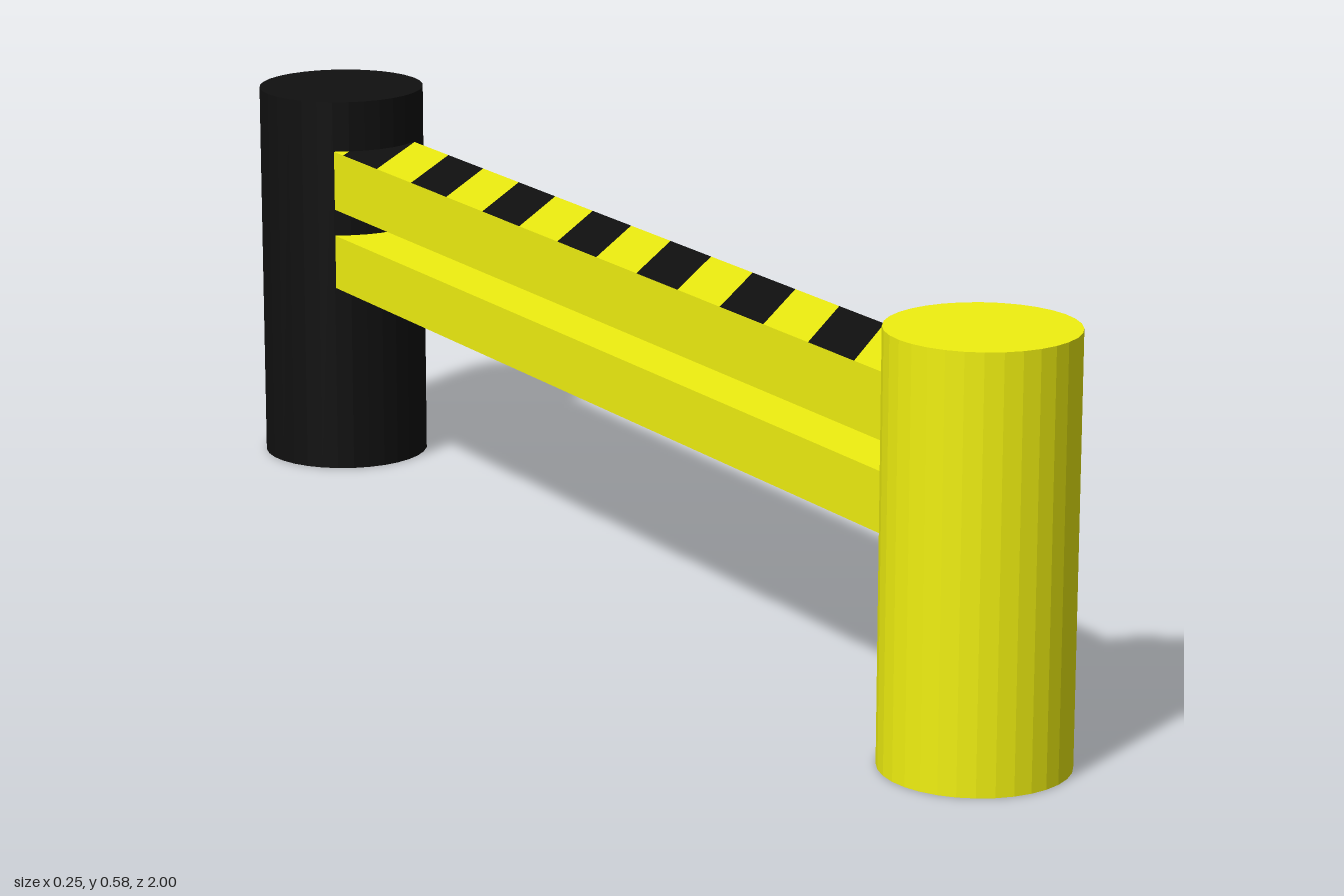
import * as THREE from 'three';
import { mergeGeometries } from 'three/addons/utils/BufferGeometryUtils.js';

const LENGTH = 1.53, DEPTH = 0.14, PITCH = LENGTH / 7;
const yellow = new THREE.MeshStandardMaterial({ color: 0xf0f010, flatShading: true });
const black = new THREE.MeshStandardMaterial({ color: 0x101010, flatShading: true });

function named(name, geometry, material) {
  const mesh = new THREE.Mesh(geometry, material);
  mesh.name = name;
  return mesh;
}

// Cut a polygon at u = limit, keeping the side given by sign.
function clip(points, limit, sign) {
  const out = [];
  points.forEach((p, i) => {
    const q = points[(i + 1) % points.length];
    const dp = (p.x - limit) * sign, dq = (q.x - limit) * sign;
    if (dp >= 0) out.push(p);
    if (dp * dq < 0) out.push(p.clone().lerp(q, dp / (dp - dq)));
  });
  return out;
}

// One colour of diagonal stripes on a LENGTH x height panel; the top edge is moved by -shift.
function stripes(height, start, shift) {
  const parts = [];
  for (let k = -1; k < 9; k++) {
    const a = start + k * PITCH, b = a + PITCH / 2;
    let pts = [[a, 0], [b, 0], [b - shift, height], [a - shift, height]]
      .map(([u, v]) => new THREE.Vector2(u, v));
    pts = clip(clip(pts, 0, 1), LENGTH, -1);
    if (pts.length < 3 || Math.abs(THREE.ShapeUtils.area(pts)) < 1e-6) continue;
    parts.push(new THREE.ShapeGeometry(new THREE.Shape(pts)));
  }
  return mergeGeometries(parts);
}

// Panel whose length runs from the front end towards the back
function stripedPanel(name, height, start, shift) {
  const panel = new THREE.Group();
  panel.name = name;
  panel.add(
    named('blackStripes', stripes(height, start, shift), black),
    named('yellowStripes', stripes(height, start + PITCH / 2, shift), yellow)
  );
  return panel;
}

// Rail: plain yellow box with its striped faces replaced by panels
function rail(name, y0, y1, start, stripedTop) {
  const group = new THREE.Group();
  group.name = name;
  const h = y1 - y0;
  const box = new THREE.BoxGeometry(DEPTH, h, LENGTH);
  const index = Array.from(box.index.array);
  box.setIndex(index.filter((_, i) => i >= 6 && !(stripedTop && i >= 12 && i < 18)));
  box.clearGroups();
  const body = named('railBody', box, yellow);
  body.position.y = (y0 + y1) / 2;
  group.add(body);

  const side = stripedPanel('stripedSide', h, start, PITCH / 2);
  side.rotation.y = Math.PI / 2;
  side.position.set(DEPTH / 2, y0, LENGTH / 2);
  group.add(side);

  if (stripedTop) {
    const top = stripedPanel('stripedTop', DEPTH, 0, DEPTH);
    top.rotation.set(-Math.PI / 2, Math.PI / 2, 0, 'YXZ');
    top.position.set(DEPTH / 2, y1, LENGTH / 2);
    group.add(top);
  }
  return group;
}

export function createModel() {
  const model = new THREE.Group();
  model.name = 'barrier';

  // End posts
  for (const [name, material, sign] of [['frontPost', yellow, 1], ['backPost', black, -1]]) {
    const post = named(name, new THREE.CylinderGeometry(0.127, 0.127, 0.582, 32), material);
    post.position.set(0, 0.291, sign * 0.873);
    model.add(post);
  }

  // Rails, with opposite stripe colours
  model.add(
    rail('upperRail', 0.414, 0.505, PITCH / 2, true),
    rail('lowerRail', 0.29, 0.373, 0, false)
  );
  return model;
}
